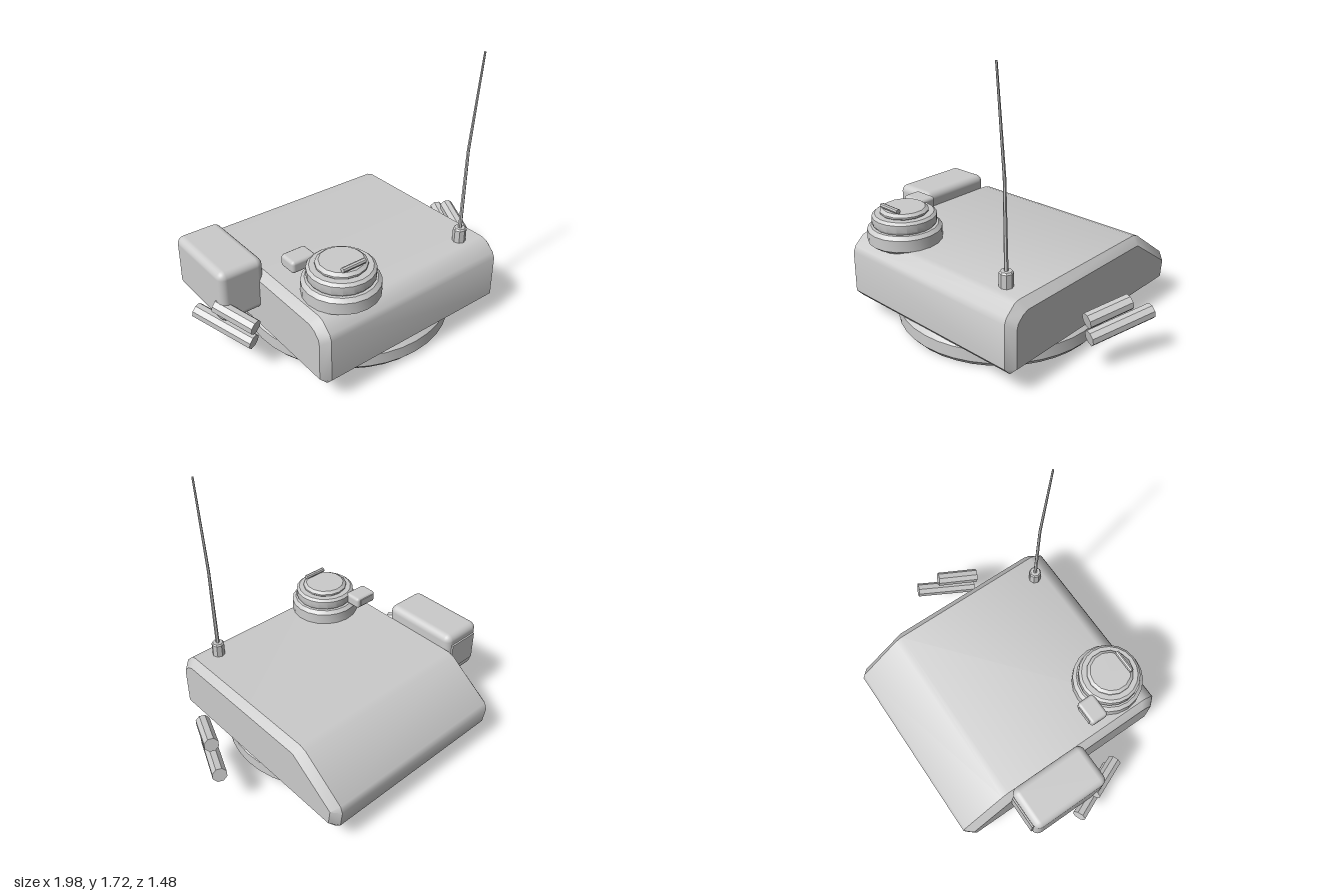
import * as THREE from 'three';
import { toCreasedNormals } from 'three/addons/utils/BufferGeometryUtils.js';
import { RoundedBoxGeometry } from 'three/addons/geometries/RoundedBoxGeometry.js';
import { ConvexGeometry } from 'three/addons/geometries/ConvexGeometry.js';

const grey = new THREE.MeshStandardMaterial({ color: 0xcccccc });
const V = (x, y, z) => new THREE.Vector3(x, y, z);

function add(parent, name, geometry, x = 0, y = 0, z = 0) {
  const mesh = new THREE.Mesh(geometry, grey);
  mesh.name = name;
  mesh.position.set(x, y, z);
  parent.add(mesh);
  return mesh;
}

// Closed turned part with crisp edges; profile runs bottom to top as [radius, height]
function turned(profile, segments, crease = 0.6) {
  const pts = profile.map(([r, y]) => new THREE.Vector2(r, y));
  return toCreasedNormals(new THREE.LatheGeometry(pts, segments), crease);
}

// Straight, optionally tapered rod between two points
function rod(parent, name, a, b, rStart, rEnd, sides) {
  const dir = b.clone().sub(a);
  const geo = toCreasedNormals(new THREE.CylinderGeometry(rEnd, rStart, dir.length(), sides), 0.5);
  const mid = a.clone().add(b).multiplyScalar(0.5);
  const mesh = add(parent, name, geo, mid.x, mid.y, mid.z);
  mesh.quaternion.setFromUnitVectors(V(0, 1, 0), dir.normalize());
  return mesh;
}

// Wedge-tailed shell: full side profile, with smaller profiles outside it for the edge bevels
function shellGeometry() {
  const outer = [
    [0.735, 0.17], [0.695, 0.125], [-0.69, 0.125], [-0.725, 0.16], [-0.74, 0.27], [-0.725, 0.31],
    [-0.445, 0.515], [-0.40, 0.53], [0.625, 0.53], [0.66, 0.52], [0.72, 0.465], [0.735, 0.43],
  ];
  const inner = [
    [0.69, 0.17], [-0.675, 0.17], [-0.69, 0.272], [-0.385, 0.483],
    [0.605, 0.483], [0.645, 0.467], [0.682, 0.43], [0.69, 0.40],
  ];
  const points = [];
  for (const s of [-1, 1]) {
    for (const [z, y] of outer) points.push(V(s * 0.615, y, z));
    for (const [z, y] of inner) points.push(V(s * 0.66, y, z));
  }
  return toCreasedNormals(new ConvexGeometry(points), 0.6);
}

export function createModel() {
  const model = new THREE.Group();
  model.name = 'turret';

  add(model, 'shell', shellGeometry());
  add(model, 'turretRing', turned(
    [[0, 0], [0.61, 0], [0.64, 0.035], [0.64, 0.11], [0.615, 0.135], [0, 0.135]], 40), 0, 0, 0.09);

  // Commander's cupola with stepped rings
  const cupola = new THREE.Group();
  cupola.name = 'cupola';
  cupola.position.set(-0.383, 0, 0.52);
  model.add(cupola);
  add(cupola, 'cupolaBase', turned(
    [[0, 0.505], [0.19, 0.505], [0.222, 0.53], [0.222, 0.6], [0.2, 0.62], [0, 0.62]], 20));
  add(cupola, 'cupolaRing', turned(
    [[0, 0.61], [0.175, 0.61], [0.192, 0.635], [0.192, 0.68], [0.175, 0.694], [0, 0.694]], 20));
  add(cupola, 'hatchLid', turned(
    [[0, 0.685], [0.13, 0.685], [0.145, 0.7], [0.145, 0.71], [0.125, 0.725], [0, 0.725]], 14));
  rod(cupola, 'hatchHandle', V(-0.075, 0.742, 0.103), V(0.075, 0.742, 0.103), 0.015, 0.015, 8);
  add(cupola, 'periscope', new RoundedBoxGeometry(0.16, 0.075, 0.12, 2, 0.02), -0.122, 0.656, -0.222);
  add(cupola, 'periscopeGlass', new THREE.BoxGeometry(0.11, 0.045, 0.01), -0.122, 0.658, -0.281);

  // Side stowage bin with rear panel
  add(model, 'stowageBin', new RoundedBoxGeometry(0.284, 0.33, 0.52, 3, 0.045), -0.762, 0.455, -0.13);
  add(model, 'stowagePanel', new THREE.BoxGeometry(0.21, 0.19, 0.015), -0.762, 0.455, -0.393);

  // Whip antenna bending forward
  add(model, 'antennaBase', turned(
    [[0, 0.52], [0.04, 0.52], [0.04, 0.61], [0.032, 0.62], [0, 0.62]], 8, 0.5), 0.475, 0, 0.567);
  const whip = [[0.6, 0.567, 0.012], [1.13, 0.578, 0.009], [1.715, 0.63, 0.006]];
  for (let i = 0; i < 2; i++) {
    const [y0, z0, r0] = whip[i], [y1, z1, r1] = whip[i + 1];
    rod(model, 'antennaWhip', V(0.475, y0, z0), V(0.475, y1, z1), r0, r1, 6);
  }

  // Paired launcher tubes on both sides
  for (const [s, side] of [[1, 'left'], [-1, 'right']]) {
    const launcher = new THREE.Group();
    launcher.name = side + 'Launcher';
    model.add(launcher);
    rod(launcher, 'upperTube', V(s * 0.8, 0.335, 0.3), V(s * 0.9, 0.385, 0.055), 0.045, 0.045, 8);
    rod(launcher, 'lowerTube', V(s * 0.8, 0.215, 0.27), V(s * 0.953, 0.29, -0.088), 0.045, 0.045, 8);
  }
  return model;
}
